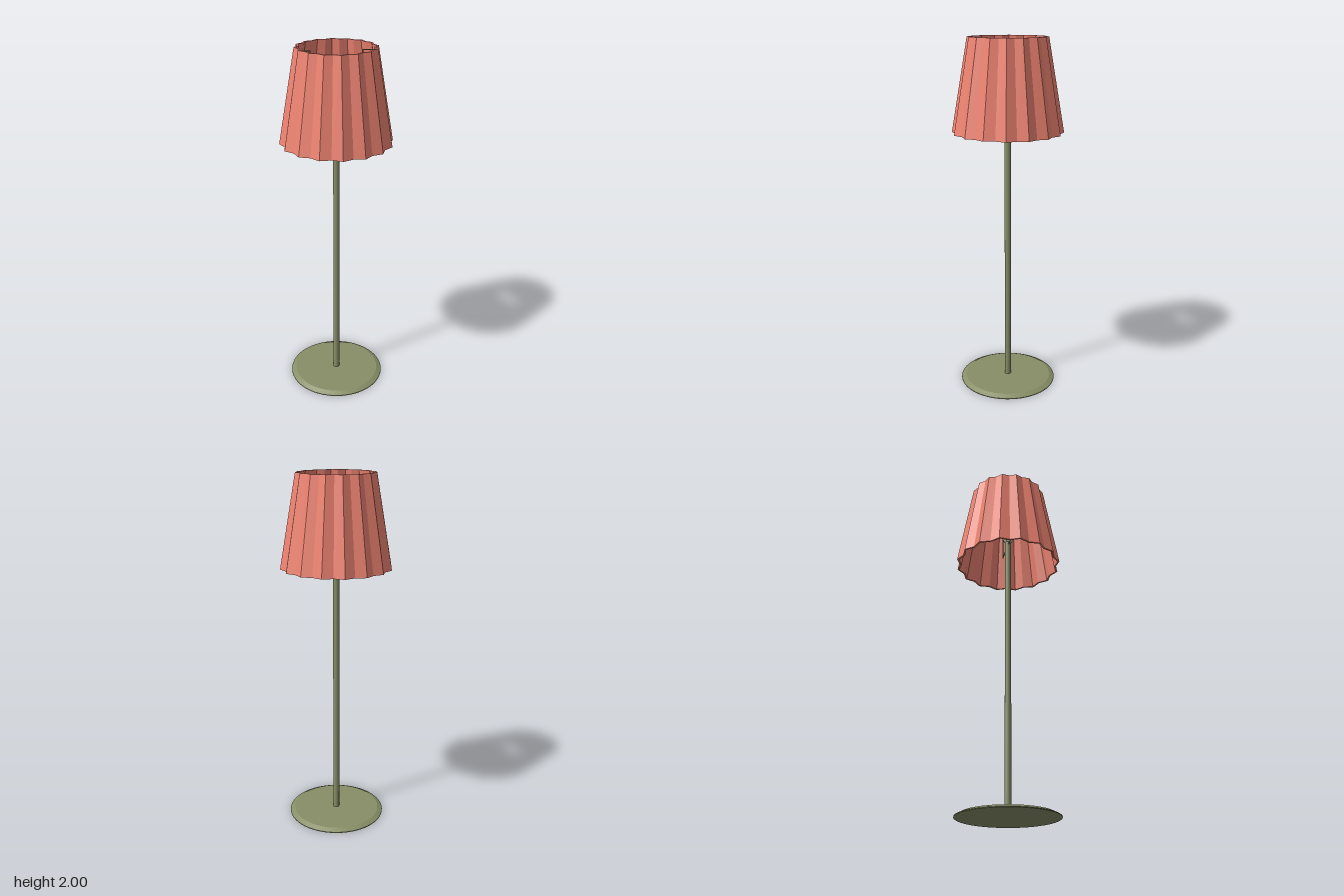
import * as THREE from 'three';

const green = new THREE.MeshStandardMaterial({ color: 0x888e66 });
const salmon = new THREE.MeshStandardMaterial({ color: 0xf08472, flatShading: true });
const cream = new THREE.MeshStandardMaterial({ color: 0xeef0c0, flatShading: true });

function part(name, geometry, material, y = 0) {
  const mesh = new THREE.Mesh(geometry, material);
  mesh.name = name;
  mesh.position.y = y;
  return mesh;
}

// Thin straight rod between two points
function rod(name, a, b, radius) {
  const dir = b.clone().sub(a);
  const mesh = part(name, new THREE.CylinderGeometry(radius, radius, dir.length() + radius, 6), green);
  mesh.position.copy(a).add(b).multiplyScalar(0.5);
  mesh.quaternion.setFromUnitVectors(new THREE.Vector3(0, 1, 0), dir.normalize());
  return mesh;
}

// Pleated wall of some thickness: four zigzag rings joined into a closed band
function pleatedShade(pleats) {
  const n = pleats * 2;
  const rings = [ // height, ridge radius, valley radius
    [1.49, 0.308, 0.286],
    [2.0, 0.218, 0.202],
    [2.0, 0.208, 0.192],
    [1.49, 0.298, 0.276],
  ];
  const positions = [];
  const index = [];
  for (const [y, ridge, valley] of rings) {
    for (let i = 0; i < n; i++) {
      const a = (i / n) * Math.PI * 2;
      const r = i % 2 ? valley : ridge;
      positions.push(Math.sin(a) * r, y, Math.cos(a) * r);
    }
  }
  for (let k = 0; k < 4; k++) {
    for (let i = 0; i < n; i++) {
      const j = (i + 1) % n;
      const a = k * n, b = ((k + 1) % 4) * n;
      index.push(a + i, a + j, b + j, a + i, b + j, b + i);
    }
  }
  const geometry = new THREE.BufferGeometry();
  geometry.setAttribute('position', new THREE.Float32BufferAttribute(positions, 3));
  geometry.setIndex(index);
  const flat = geometry.toNonIndexed();
  flat.computeVertexNormals();
  return flat;
}

export function createModel() {
  const lamp = new THREE.Group();
  lamp.name = 'floorLamp';

  // Flat disc foot with a bevelled rim
  const foot = new THREE.CylinderGeometry(0.25, 0.278, 0.014, 64);
  lamp.add(part('base', foot, green, 0.011));
  lamp.add(part('baseEdge', new THREE.CylinderGeometry(0.278, 0.278, 0.004, 64), green, 0.002));

  // Pole
  lamp.add(part('pole', new THREE.CylinderGeometry(0.018, 0.018, 1.64, 16), green, 0.83));

  // Faceted bulb on top of the pole
  const bulb = part('bulb', new THREE.SphereGeometry(0.036, 7, 6), cream, 1.69);
  bulb.scale.y = 1.25;
  bulb.rotation.y = -Math.PI / 2;
  lamp.add(bulb);

  // Wire arms: out from the pole, up, then out to the shade rim
  const path = [[0, 1.635], [0.135, 1.625], [0.135, 1.98], [0.208, 1.98]];
  for (const side of [1, -1]) {
    const arm = new THREE.Group();
    arm.name = side > 0 ? 'leftWireArm' : 'rightWireArm';
    const pts = path.map(([x, y]) => new THREE.Vector3(x * side, y, 0));
    for (let i = 0; i < 3; i++) arm.add(rod('wire', pts[i], pts[i + 1], 0.003));
    lamp.add(arm);
  }

  // Shade
  lamp.add(part('shade', pleatedShade(16), salmon));
  return lamp;
}
